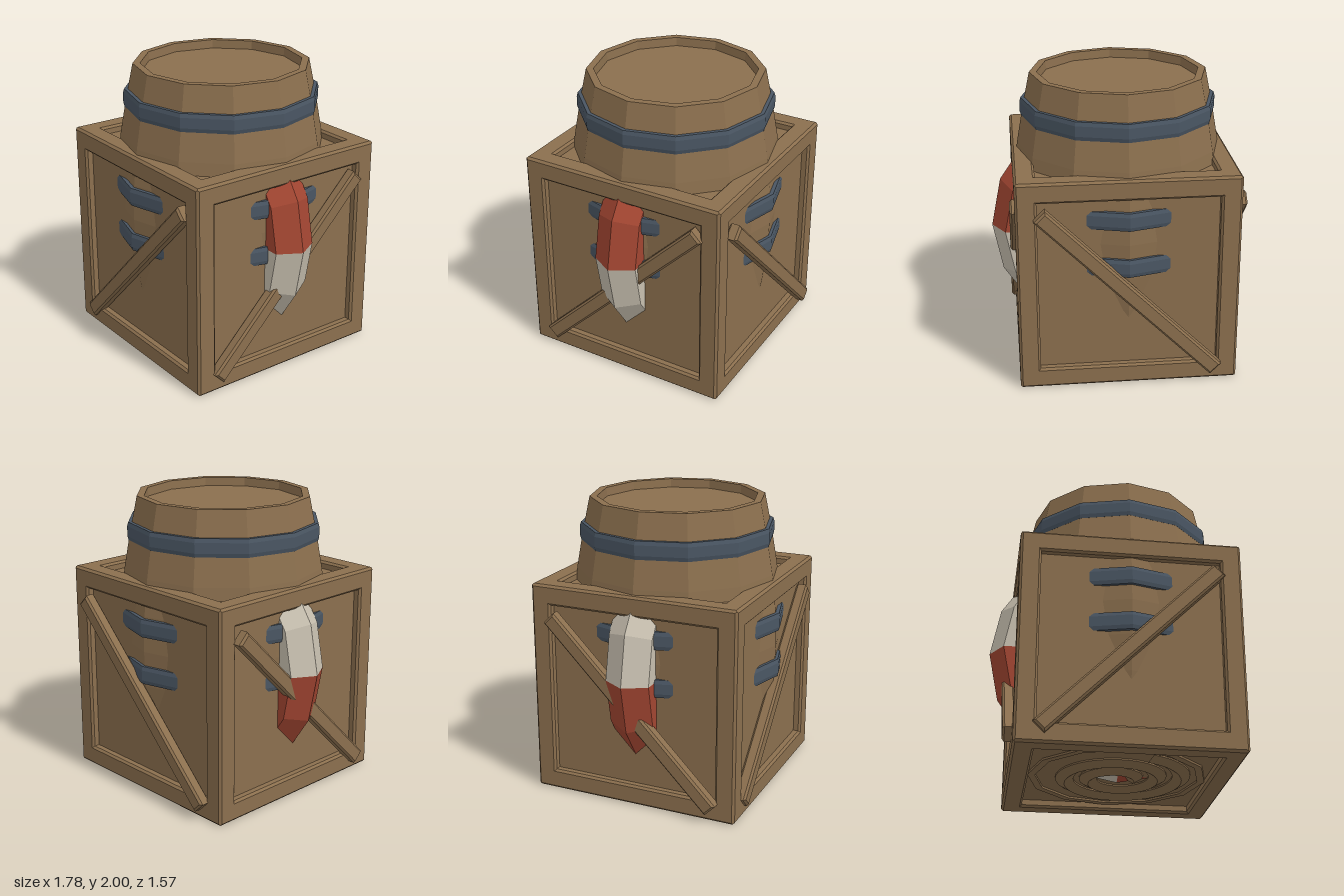
import * as THREE from 'three';

const wood = new THREE.MeshStandardMaterial({ color: 0x8b6f4e });
wood.name = 'wood';
const iron = new THREE.MeshStandardMaterial({ color: 0x4a5663 });
iron.name = 'iron';
const red = new THREE.MeshStandardMaterial({ color: 0xa34632 });
red.name = 'red';
const white = new THREE.MeshStandardMaterial({ color: 0xc8c0b0 });
white.name = 'white';

// Faceted mesh helper
function part(name, geometry, material) {
  const g = geometry.index ? geometry.toNonIndexed() : geometry;
  g.computeVertexNormals();
  const mesh = new THREE.Mesh(g, material);
  mesh.name = name;
  return mesh;
}

function lathe(points, sides) {
  return new THREE.LatheGeometry(points.map(([x, y]) => new THREE.Vector2(x, y)), sides);
}

// Crate: six framed faces with chamfered edges and sunken panels
const HALF = 0.738;
function createCrate() {
  const crate = new THREE.Group();
  crate.name = 'crate';
  const profile = [[HALF - 0.008, HALF - 0.008], [HALF - 0.016, HALF], [0.613, HALF],
    [0.598, HALF - 0.015], [0.598, 0.685], [0, 0.685]];
  const turns = [[0, 0], [Math.PI, 0], [Math.PI / 2, 0], [-Math.PI / 2, 0], [0, Math.PI / 2], [0, -Math.PI / 2]];
  const names = ['top', 'bottom', 'front', 'back', 'rightSide', 'leftSide'];
  turns.forEach(([rx, rz], i) => {
    const g = lathe(profile.map(([r, y]) => [r * Math.SQRT2, y]), 4);
    g.rotateY(Math.PI / 4).rotateX(rx).rotateZ(rz);
    crate.add(part(names[i] + 'Face', g, wood));
  });
  crate.position.y = HALF;
  return crate;
}

// Diagonal brace with bevelled edges, rising to +x in its own plane
function braceGeometry() {
  const b = 0.014, l = 1.655 / 2 - b, w = 0.105 / 2 - b;
  const shape = new THREE.Shape([[-l, -w], [l, -w], [l, w], [-l, w]].map(([x, y]) => new THREE.Vector2(x, y)));
  const g = new THREE.ExtrudeGeometry(shape, {
    depth: 0.055, bevelEnabled: true, bevelSize: b, bevelThickness: b, bevelSegments: 1,
  });
  return g.rotateZ(Math.PI / 4).translate(0, 0.683, 0.7);
}

// Barrel: twelve staves, rimmed lids and four hoops
const BARREL_Y = 1.02, BARREL_H = 0.98;
const barrelRadius = (y) => 0.6 + 0.135 * Math.cos(((y - BARREL_Y) / BARREL_H) * Math.PI / 2);
function createBarrel() {
  const barrel = new THREE.Group();
  barrel.name = 'barrel';
  const y0 = BARREL_Y - BARREL_H, y1 = BARREL_Y + BARREL_H;
  const profile = [[0, y0 + 0.06], [0.545, y0 + 0.06], [0.55, y0]];
  for (let i = 0; i <= 8; i++) {
    const y = y0 + (i / 8) * (y1 - y0);
    profile.push([barrelRadius(y), y]);
  }
  profile.push([0.55, y1], [0.545, y1 - 0.06], [0, y1 - 0.06]);
  barrel.add(part('staves', lathe(profile, 12), wood));

  for (const [y, R] of [[1.763, 0.67], [1.19, 0.759], [0.86, 0.759], [0.29, 0.67]]) {
    const hoop = [[R - 0.04, -0.062], [R - 0.008, -0.062], [R, -0.035], [R, 0.035],
      [R - 0.008, 0.062], [R - 0.04, 0.062]].map(([r, h]) => [r, y + h]);
    barrel.add(part('hoop', lathe(hoop, 12), iron));
  }
  return barrel;
}

// Life ring: eight alternating sections standing upright
function createLifeRing() {
  const ring = new THREE.Group();
  ring.name = 'lifeRing';
  for (let i = 0; i < 8; i++) {
    const g = new THREE.TorusGeometry(0.71, 0.18, 6, 2, Math.PI / 4);
    g.rotateZ(i * Math.PI / 4);
    ring.add(part('ringSection', g, i % 2 ? white : red));
  }
  ring.position.y = 0.9;
  return ring;
}

// Rope coil lying at the bottom of the crate
function createRope() {
  const points = [];
  for (let i = 0; i <= 44; i++) {
    const a = (i / 20) * Math.PI * 2;
    const r = 0.11 + 0.35 * (i / 44);
    points.push(new THREE.Vector3(Math.cos(a) * r, 0.078, Math.sin(a) * r));
  }
  const curve = new THREE.CatmullRomCurve3(points);
  return part('ropeCoil', new THREE.TubeGeometry(curve, 80, 0.07, 6), wood);
}

export function createModel() {
  const model = new THREE.Group();
  model.name = 'crateWithBarrel';
  model.add(createCrate(), createBarrel(), createLifeRing(), createRope());

  // Braces: opposite sides mirror each other
  const g = braceGeometry();
  const braces = [
    ['frontBrace', g.clone()],
    ['backBrace', g.clone().translate(0, 0, -1.4835)],
    ['leftBrace', g.clone().rotateY(Math.PI / 2)],
    ['rightBrace', g.clone().rotateY(Math.PI / 2).translate(-1.4835, 0, 0)],
  ];
  for (const [name, geometry] of braces) model.add(part(name, geometry, wood));
  return model;
}
